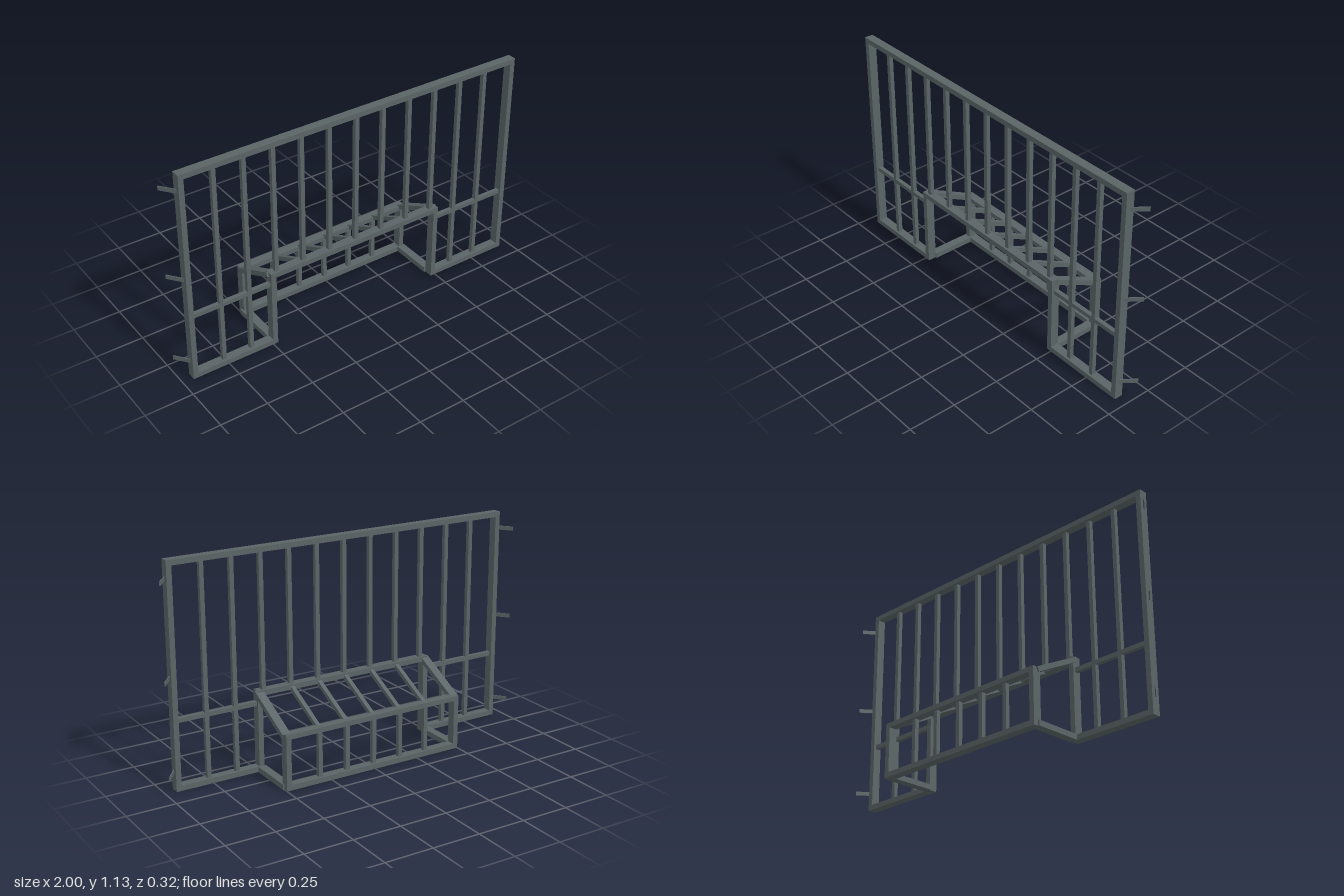
import * as THREE from 'three';

const W = 0.945;       // half width of the panel
const H = 1.132;       // panel height
const T = 0.027;       // frame thickness
const D = 0.045;       // frame depth
const BAR = 0.022;     // thin bar thickness
const ZF = 0.1375;     // centre of the front panel
const ZB = -0.1375;    // centre of the projecting back wall
const BX = 0.5;        // half width of the opening
const HEAD = 0.42;     // top of the opening
const SILL = 0.286;    // top of the back wall
const PITCH = 0.1533;  // bar spacing

export function createModel() {
  const root = new THREE.Group();
  root.name = 'windowGrille';
  const steel = new THREE.MeshStandardMaterial({ color: 0x5a6466 });
  steel.name = 'slate grey steel';

  // Box given by its limits
  const box = (name, x0, x1, y0, y1, z0, z1) => {
    const m = new THREE.Mesh(new THREE.BoxGeometry(x1 - x0, y1 - y0, z1 - z0), steel);
    m.position.set((x0 + x1) / 2, (y0 + y1) / 2, (z0 + z1) / 2);
    m.name = name;
    root.add(m);
    return m;
  };
  const upright = (name, x, y0, y1, z) =>
    box(name, x - BAR / 2, x + BAR / 2, y0, y1, z - BAR / 2, z + BAR / 2);

  // Member sloping down to the back, between two (z, y) points
  const slope = (name, x, width, thick, zA, yA, zB, yB) => {
    const len = Math.hypot(zA - zB, yA - yB);
    const m = new THREE.Mesh(new THREE.BoxGeometry(width, thick, len), steel);
    m.position.set(x, (yA + yB) / 2, (zA + zB) / 2);
    m.rotation.x = -Math.atan2(yA - yB, zA - zB);
    m.name = name;
    root.add(m);
  };

  const f0 = ZF - D / 2, f1 = ZF + D / 2;
  const b0 = ZB - D / 2, b1 = ZB + D / 2;

  // Rails spanning the whole width
  box('topRail', -W, W, H - T, H, f0, f1);
  box('openingHeader', -BX, BX, HEAD - T, HEAD, f0, f1);
  box('backTopRail', -BX, BX, SILL - 0.025, SILL, b0, b1);
  box('backBottomRail', -BX, BX, 0, T, b0, b1);

  // Mirrored frame members
  for (const s of [-1, 1]) {
    const pair = (name, xa, xb, ...r) =>
      box(name, Math.min(s * xa, s * xb), Math.max(s * xa, s * xb), ...r);
    pair('sideStile', W - T, W, 0, H - T, f0, f1);
    pair('frontBottomRail', BX, W - T, 0, T, f0, f1);
    pair('openingPost', BX - T, BX, 0, HEAD - T, f0, f1);
    pair('backPost', BX - T, BX, T, SILL - 0.025, b0, b1);
    pair('sideBottomRail', 0.465, 0.508, 0, T + 0.001, -0.135, f0);
    pair('middleBar', BX, W - T, 0.342, 0.364, ZF - BAR / 2, ZF + BAR / 2);
    slope('slopingSideRail', s * 0.4865, 0.043, 0.025, 0.134, 0.408, -0.134, 0.273);

    // Angled wall tabs
    for (const y of [0.097, 0.568, 1.043]) {
      const dx = 0.054, dz = 0.07;
      const tab = new THREE.Mesh(
        new THREE.BoxGeometry(Math.hypot(dx, dz), 0.021, 0.005), steel);
      tab.position.set(s * (W + dx / 2 - 0.001), y, 0.104);
      tab.rotation.y = s * Math.atan2(dz, dx);
      tab.name = 'wallTab';
      root.add(tab);
    }
  }

  // Front bars, shortened above the opening
  for (let i = -5; i <= 5; i++) {
    upright('frontBar', i * PITCH, Math.abs(i) > 3 ? T : HEAD, H - T, ZF);
  }

  // Bars of the projecting box
  for (let i = -2; i <= 2; i++) {
    upright('backBar', i * PITCH, T, SILL - 0.025, ZB);
    slope('slopingBar', i * PITCH, BAR, BAR, 0.125, 0.403, -0.13, 0.275);
  }
  return root;
}
